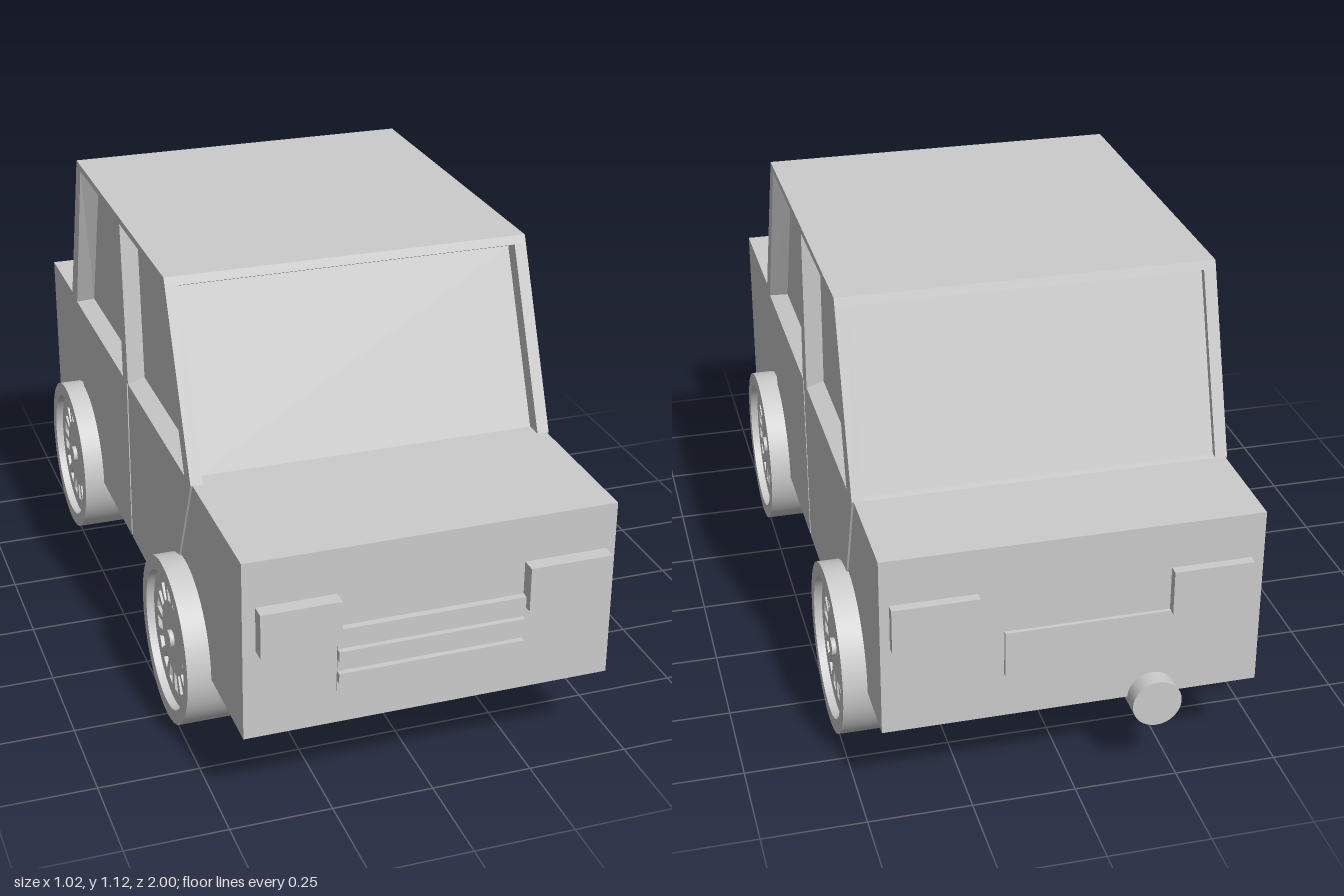
import * as THREE from 'three';

const grey = new THREE.MeshStandardMaterial({ color: 0xcccccc, side: THREE.DoubleSide });
grey.name = 'plain grey';

function add(parent, name, geometry, x = 0, y = 0, z = 0) {
  const mesh = new THREE.Mesh(geometry, grey);
  mesh.name = name;
  mesh.position.set(x, y, z);
  parent.add(mesh);
  return mesh;
}

// Box given by its limits on each axis
function block(parent, name, [x0, x1], [y0, y1], [z0, z1]) {
  return add(parent, name, new THREE.BoxGeometry(x1 - x0, y1 - y0, z1 - z0),
    (x0 + x1) / 2, (y0 + y1) / 2, (z0 + z1) / 2);
}

// Flat-shaded surface from four-cornered faces
function quads(list) {
  const pos = [];
  for (const [a, b, c, d] of list) pos.push(...a, ...b, ...c, ...a, ...c, ...d);
  const g = new THREE.BufferGeometry();
  g.setAttribute('position', new THREE.Float32BufferAttribute(pos, 3));
  g.computeVertexNormals();
  return g;
}

// Window: four reveal faces running inward plus the pane
function recess(outer, inner) {
  const faces = outer.map((p, i) => {
    const j = (i + 1) % 4;
    return [p, outer[j], inner[j], inner[i]];
  });
  return quads([...faces, inner]);
}

const shapeOf = pts => new THREE.Shape(pts.map(p => new THREE.Vector2(...p)));
const HALF = 0.458, SILL = 0.67, ROOF = 1.12, POST = 0.428;

function cabin(parent) {
  const g = new THREE.Group();
  g.name = 'cabin';
  parent.add(g);
  // Side outline and windows as [z, y]
  const outline = [[0.575, SILL], [0.38, ROOF], [-0.535, ROOF], [-0.685, SILL]];
  const windows = [
    { outer: [[0.52, 0.672], [0.342, 1.103], [-0.053, 1.103], [-0.026, 0.672]],
      inner: [[0.487, 0.685], [0.325, 1.088], [-0.053, 1.088], [-0.027, 0.685]] },
    { outer: [[-0.08, 0.672], [-0.092, 1.103], [-0.492, 1.103], [-0.622, 0.672]],
      inner: [[-0.08, 0.685], [-0.092, 1.088], [-0.468, 1.088], [-0.6, 0.685]] },
  ];
  for (const s of [1, -1]) {
    const frame = shapeOf(outline);
    frame.holes = windows.map(w => new THREE.Path(w.outer.map(p => new THREE.Vector2(...p))));
    add(g, 'sideFrame', new THREE.ShapeGeometry(frame).rotateY(-Math.PI / 2), s * HALF);
    for (const w of windows) {
      const at = (pts, x) => pts.map(([z, y]) => [s * x, y, z]);
      add(g, 'sideWindow', recess(at(w.outer, HALF), at(w.inner, HALF - 0.045)));
    }
  }
  // Roof
  add(g, 'roof', quads([[[-HALF, ROOF, 0.38], [HALF, ROOF, 0.38], [HALF, ROOF, -0.535], [-HALF, ROOF, -0.535]]]));
  // Sloping ends: [z, y] of foot, top, header edge, pane foot and pane top
  const ends = [
    ['windshield', [0.575, SILL], [0.38, ROOF], [0.389, 1.1], [0.531, SILL], [0.352, 1.084]],
    ['rearWindow', [-0.685, SILL], [-0.535, ROOF], [-0.542, 1.1], [-0.668, SILL + 0.003], [-0.525, 1.095]],
  ];
  for (const [name, foot, top, head, paneFoot, paneTop] of ends) {
    const p = (x, [z, y]) => [x, y, z];
    const posts = [1, -1].map(s =>
      [p(s * HALF, foot), p(s * POST, foot), p(s * POST, head), p(s * HALF, head)]);
    const header = [p(-HALF, head), p(HALF, head), p(HALF, top), p(-HALF, top)];
    add(g, name + 'Frame', quads([...posts, header]));
    const rect = (a, b) => [p(-POST, a), p(POST, a), p(POST, b), p(-POST, b)];
    add(g, name, recess(rect(foot, head), rect(paneFoot, paneTop)));
  }
}

// Thin door skins, slanted at the wheel ends, with a gap between them
function doors(parent) {
  const skins = {
    frontDoor: [[0.575, SILL], [-0.028, SILL], [-0.04, 0.215], [0.35, 0.215]],
    rearDoor: [[-0.04, SILL], [-0.685, SILL], [-0.5, 0.215], [-0.05, 0.215]],
  };
  for (const s of [1, -1]) {
    for (const [name, pts] of Object.entries(skins)) {
      const geo = new THREE.ExtrudeGeometry(shapeOf(pts), { depth: 0.007, bevelEnabled: false });
      add(parent, name, geo.rotateY(-Math.PI / 2), s > 0 ? HALF : -HALF + 0.007);
    }
  }
}

// Wheel built along +z (outer face at z = 0), then turned to face outward
function wheel(parent, s, z) {
  const g = new THREE.Group();
  g.name = 'wheel';
  const R = 0.211, RIM = 0.175, W = 0.26;
  const tread = new THREE.CylinderGeometry(R, R, W, 64, 1, true).rotateX(Math.PI / 2);
  add(g, 'tread', tread, 0, 0, -W / 2);
  add(g, 'innerFace', new THREE.CircleGeometry(R, 64), 0, 0, -W);
  add(g, 'tyreLip', new THREE.RingGeometry(RIM, R, 64));
  const lip = new THREE.CylinderGeometry(RIM, RIM, 0.045, 64, 1, true).rotateX(Math.PI / 2);
  add(g, 'rimWall', lip, 0, 0, -0.0225);
  add(g, 'rimFloor', new THREE.CircleGeometry(RIM, 64), 0, 0, -0.045);
  // Rim disc with a ring of sixteen slots
  const disc = new THREE.Shape().absarc(0, 0, RIM, 0, Math.PI * 2);
  for (let i = 0; i < 16; i++) {
    const a = (i + 0.5) * Math.PI / 8;
    const at = (r, t) => new THREE.Vector2(
      r * Math.cos(a) - t * Math.sin(a), r * Math.sin(a) + t * Math.cos(a));
    disc.holes.push(new THREE.Path([at(0.095, -0.011), at(0.14, -0.016), at(0.14, 0.016), at(0.095, 0.011)]));
  }
  const rim = new THREE.ExtrudeGeometry(disc, { depth: 0.022, bevelEnabled: false, curveSegments: 48 });
  add(g, 'rim', rim, 0, 0, -0.042);
  add(g, 'hub', new THREE.CylinderGeometry(0.022, 0.022, 0.012, 24).rotateX(Math.PI / 2), 0, 0, -0.015);
  g.rotation.y = s * Math.PI / 2;
  g.position.set(s * 0.512, R + 0.003, z);
  parent.add(g);
}

export function createModel() {
  const car = new THREE.Group();
  car.name = 'car';
  block(car, 'body', [-0.453, 0.453], [0.215, SILL], [-0.957, 0.963]);
  cabin(car);
  doors(car);
  for (const s of [1, -1]) {
    for (const z of [0.492, -0.582]) wheel(car, s, z);
    const span = s > 0 ? [0.226, 0.43] : [-0.422, -0.23];
    block(car, 'headlight', span, [0.443, 0.555], [0.95, 1]);
    block(car, 'tailLight', span, [0.443, 0.555], [-0.98, -0.95]);
  }
  // Grille: backing plate and three bars
  block(car, 'grillePlate', [-0.23, 0.226], [0.3, 0.47], [0.955, 0.966]);
  for (const y of [0.328, 0.386, 0.445]) {
    block(car, 'grilleBar', [-0.23, 0.226], [y, y + 0.026], [0.955, 0.98]);
  }
  block(car, 'rearPlate', [-0.23, 0.165], [0.33, 0.445], [-0.967, -0.95]);
  // Exhaust
  const pipe = new THREE.CylinderGeometry(0.06, 0.06, 0.64, 32).rotateX(Math.PI / 2);
  add(car, 'exhaustPipe', pipe, -0.195, 0.214, -0.68);
  return car;
}
